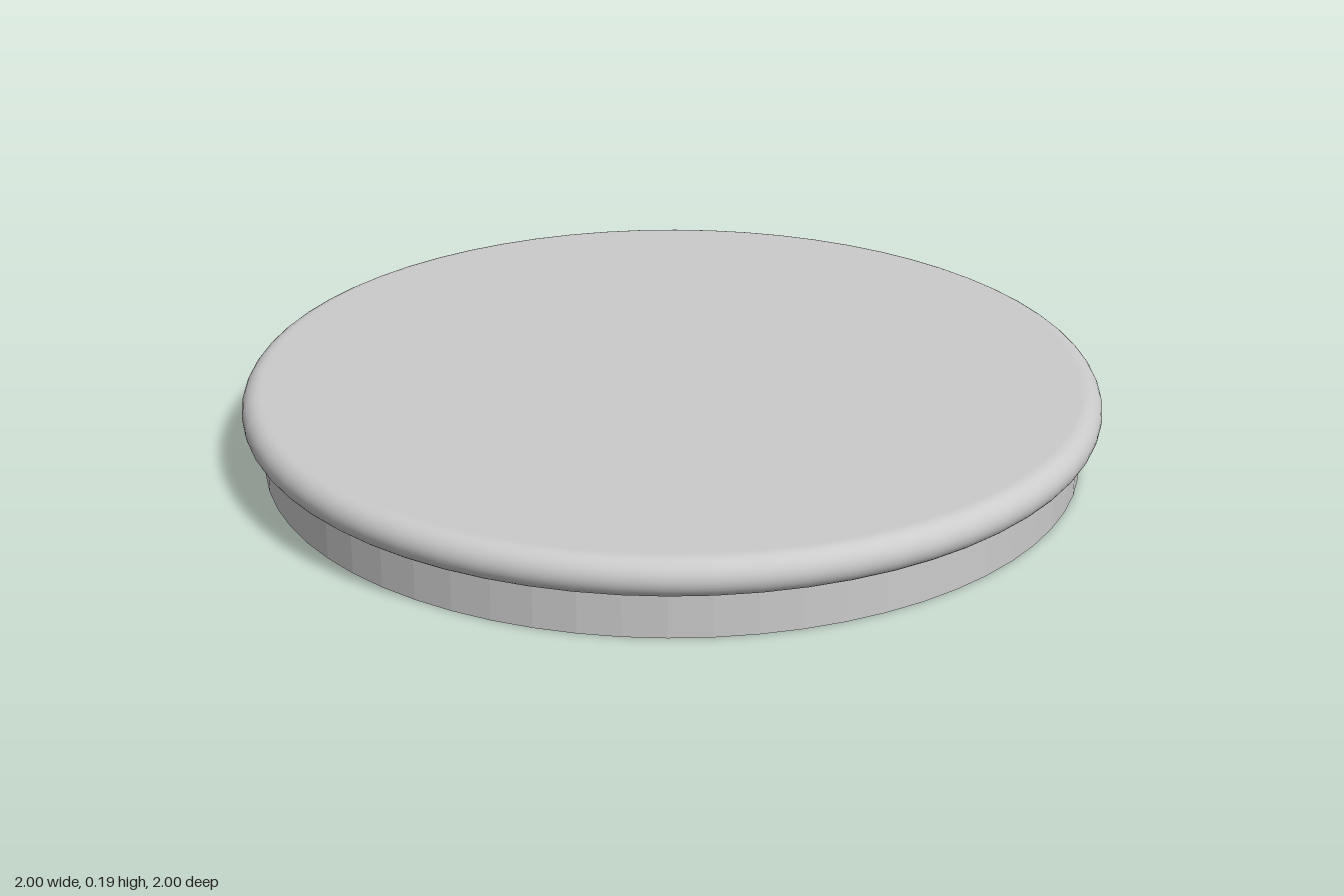
import * as THREE from 'three';

const SEGMENTS = 64;

export function createModel() {
  const group = new THREE.Group();
  group.name = 'roundLid';

  // Faceted lower plug
  const plug = new THREE.Mesh(
    new THREE.CylinderGeometry(0.955, 0.955, 0.11, SEGMENTS),
    new THREE.MeshStandardMaterial({ color: 0xcccccc, flatShading: true })
  );
  plug.name = 'basePlug';
  plug.position.y = 0.055;
  group.add(plug);

  // Smooth upper disc with a half-round rim
  const bead = 0.044, rimCentre = 1 - bead, midY = 0.146;
  const profile = [
    new THREE.Vector2(0, midY - bead),
    new THREE.Vector2(rimCentre - 0.005, midY - bead),
  ];
  for (let i = 0; i <= 16; i++) {
    const a = -Math.PI / 2 + (Math.PI * i) / 16;
    profile.push(new THREE.Vector2(rimCentre + bead * Math.cos(a), midY + bead * Math.sin(a)));
  }
  profile.push(
    new THREE.Vector2(rimCentre - 0.005, midY + bead),
    new THREE.Vector2(0, midY + bead)
  );
  const disc = new THREE.Mesh(
    new THREE.LatheGeometry(profile, SEGMENTS),
    new THREE.MeshStandardMaterial({ color: 0xcccccc })
  );
  disc.name = 'topDisc';
  group.add(disc);

  return group;
}
